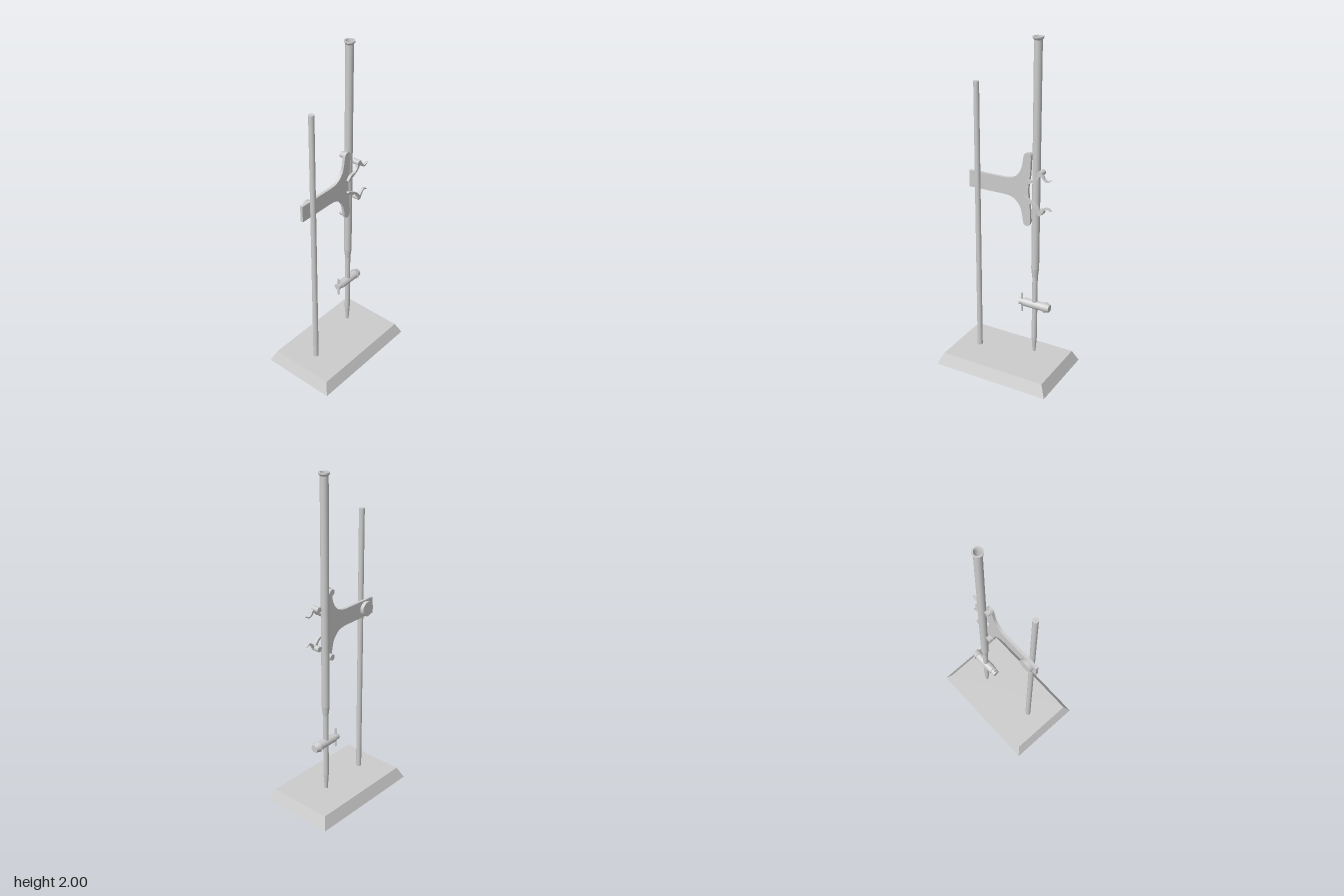
import * as THREE from 'three';

const V = (x, y) => new THREE.Vector2(x, y);
const CLAMP_Y = 1.147, TUBE_X = 0.152, TUBE_Z = -0.047;

export function createModel() {
  const group = new THREE.Group();
  const material = new THREE.MeshStandardMaterial({ color: 0xcccccc });

  function add(name, geometry, x = 0, y = 0, z = 0) {
    const mesh = new THREE.Mesh(geometry, material);
    mesh.name = name;
    mesh.position.set(x, y, z);
    group.add(mesh);
    return mesh;
  }

  // Lathe with crisp edges: every segment gets its own ring normals
  function turned(name, points, x, y, z) {
    const part = new THREE.Group();
    part.name = name;
    for (let i = 0; i < points.length - 1; i++) {
      part.add(new THREE.Mesh(new THREE.LatheGeometry([points[i], points[i + 1]], 32), material));
    }
    part.position.set(x, y, z);
    group.add(part);
    return part;
  }

  // Cylinder lying along z between two depths
  function disc(name, radius, x, y, z0, z1) {
    const g = new THREE.CylinderGeometry(radius, radius, z1 - z0, 32).rotateX(Math.PI / 2);
    return add(name, g, x, y, (z0 + z1) / 2);
  }

  function plate(name, points, z0, z1) {
    const g = new THREE.ExtrudeGeometry(new THREE.Shape(points), { depth: z1 - z0, bevelEnabled: false });
    return add(name, g, 0, 0, z0);
  }

  // Base: a box whose top face is drawn inward
  const baseGeometry = new THREE.BoxGeometry(0.73, 0.07, 0.464);
  const p = baseGeometry.attributes.position;
  for (let i = 0; i < p.count; i++) {
    if (p.getY(i) > 0) p.setXYZ(i, Math.sign(p.getX(i)) * 0.332, p.getY(i), Math.sign(p.getZ(i)) * 0.2);
  }
  baseGeometry.computeVertexNormals();
  add('base', baseGeometry, 0, 0.035, 0);

  // Upright rod
  add('standRod', new THREE.CylinderGeometry(0.016, 0.016, 1.665, 32), -0.2, 0.8975, 0);

  // Hollow graduated tube: outside from tip to rim, then down the bore
  turned('buretteTube', [
    V(0.004, 0.105), V(0.009, 0.105), V(0.016, 0.2), V(0.016, 0.6), V(0.023, 0.66), V(0.023, 1.982),
    V(0.030, 1.992), V(0.030, 2), V(0.022, 2), V(0.019, 1.98), V(0.019, 0.66), V(0.004, 0.6), V(0.004, 0.105),
  ], TUBE_X, 0, TUBE_Z);

  // Stopcock: turned plug lying along x, with a flared knob at the left
  turned('stopcock', [
    V(0, 0.054), V(0.02, 0.054), V(0.02, 0.085), V(0.025, 0.085), V(0.025, 0.22),
    V(0.032, 0.22), V(0.022, 0.25), V(0, 0.25),
  ], 0, 0.42, TUBE_Z).rotation.z = -Math.PI / 2;
  add('stopcockPin', new THREE.CylinderGeometry(0.006, 0.006, 0.12, 16), 0.068, 0.416, TUBE_Z);

  // Clamp plate: upper half outline, mirrored below the arm's axis
  const flare = new THREE.SplineCurve([
    V(-0.04, 0.05), V(0.0, 0.054), V(0.035, 0.07), V(0.066, 0.108), V(0.08, 0.16), V(0.086, 0.196),
    V(0.094, 0.212), V(0.109, 0.218), V(0.124, 0.212), V(0.131, 0.194),
    V(0.13, 0.15), V(0.127, 0.09), V(0.12, 0.045), V(0.116, 0),
  ]).getPoints(56);
  const upper = [V(-0.265, 0.05), ...flare];
  const lower = upper.slice(0, -1).reverse().map((q) => V(q.x, -q.y));
  plate('clampPlate', [...upper, ...lower].map((q) => V(q.x, q.y + CLAMP_Y)), -0.034, -0.017);
  disc('clampKnob', 0.043, -0.2, CLAMP_Y, -0.056, -0.034);

  // Wavy spring fingers: a centre line with a width that varies along it
  const line = new THREE.SplineCurve([
    V(0.1, 0.036), V(0.125, 0.056), V(0.158, 0.069), V(0.18, 0.088), V(0.194, 0.114),
    V(0.211, 0.105), V(0.222, 0.088), V(0.243, 0.079), V(0.267, 0.091),
  ]);
  const widths = [0.008, 0.022, 0.012, 0.014, 0.02, 0.013, 0.011, 0.008, 0.002];
  for (const side of [1, -1]) {
    const end = side > 0 ? 'upper' : 'lower';
    const left = [], right = [];
    for (let i = 0; i <= 48; i++) {
      const t = i / 48, c = line.getPoint(t), d = line.getTangent(t);
      const k = Math.min(Math.floor(t * 8), 7);
      const h = THREE.MathUtils.lerp(widths[k], widths[k + 1], t * 8 - k) / 2;
      left.push(V(c.x - d.y * h, CLAMP_Y + side * (c.y + d.x * h)));
      right.unshift(V(c.x + d.y * h, CLAMP_Y + side * (c.y - d.x * h)));
    }
    plate(end + 'Finger', [...left, ...right], -0.016, 0);
    disc(end + 'FingerPost', 0.016, 0.195, CLAMP_Y + side * 0.116, -0.046, 0);
    disc(end + 'JawBoss', 0.018, 0.105, CLAMP_Y + side * 0.194, -0.058, -0.03);
  }

  return group;
}
